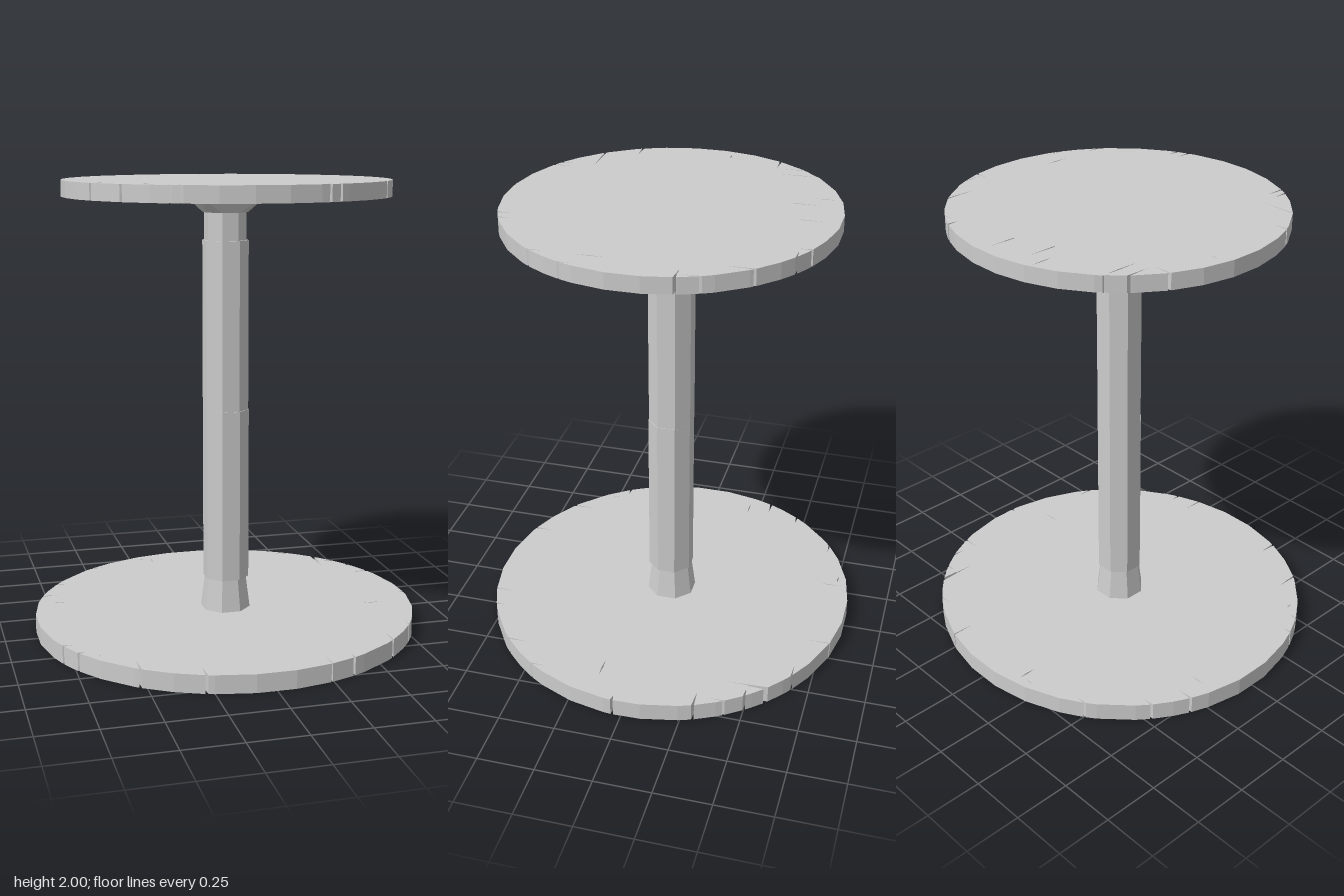
import * as THREE from 'three';

const material = new THREE.MeshStandardMaterial({ color: 0xcccccc, flatShading: true, side: THREE.DoubleSide });

function part(name, geometry) {
  const mesh = new THREE.Mesh(geometry, material);
  mesh.name = name;
  return mesh;
}

// Worn wooden disc: polygon rim with V-shaped splits [x, z, grain axis, length]
// and inner cracks [x, z, grain axis, length]
function woodDisc(name, { rx, rz, cx, cz, y, height, splits, cracks }) {
  const rim = a => new THREE.Vector2(cx + rx * Math.cos(a), cz + rz * Math.sin(a));
  const notches = splits.map(([x, z, axis, length, width = 0.012]) => {
    const a = Math.atan2((z - cz) / rz, (x - cx) / rx);
    return { a, axis, length, w: width / 2 / rx };
  });
  const outline = [];
  const sides = 32;
  for (let i = 0; i < sides; i++) {
    const a = -Math.PI + ((i + 0.5) / sides) * Math.PI * 2;
    if (notches.every(n => Math.abs(n.a - a) > n.w + 0.008)) outline.push([a, rim(a)]);
  }
  for (const { a, axis, length, w } of notches) {
    const tip = rim(a);
    tip[axis] -= Math.sign(tip[axis]) * length;
    outline.push([a - w, rim(a - w)], [a, tip], [a + w, rim(a + w)]);
  }
  outline.sort((p, q) => p[0] - q[0]);
  const shape = new THREE.Shape(outline.map(p => p[1]));

  for (const [x, z, axis, length] of cracks) {
    const dx = axis === 'x' ? length / 2 : 0.003;
    const dz = axis === 'x' ? 0.003 : length / 2;
    shape.holes.push(new THREE.Path([
      new THREE.Vector2(x - dx, z), new THREE.Vector2(x, z + dz),
      new THREE.Vector2(x + dx, z), new THREE.Vector2(x, z - dz),
    ]));
  }
  // Shape y becomes world z, with the extrusion going down from the top face
  const geometry = new THREE.ExtrudeGeometry(shape, { depth: height, bevelEnabled: false });
  geometry.rotateX(Math.PI / 2).translate(0, y + height, 0);
  return part(name, geometry);
}

// Eight-sided post section with flats facing the axes
function octagon(name, bottomHalf, topHalf, y0, y1, x = 0, z = 0) {
  const k = 1 / Math.cos(Math.PI / 8);
  const geometry = new THREE.CylinderGeometry(topHalf * k, bottomHalf * k, y1 - y0, 8);
  geometry.rotateY(Math.PI / 8).translate(x, (y0 + y1) / 2, z);
  return part(name, geometry);
}

// Bracket blending from the octagonal neck to a rectangle under the top
function bracket(y0, y1) {
  const geometry = new THREE.CylinderGeometry(1, 1, 1, 8, 1).rotateY(Math.PI / 8);
  const p = geometry.attributes.position;
  for (let i = 0; i < p.count; i++) {
    const x = p.getX(i), z = p.getZ(i);
    const centre = Math.hypot(x, z) < 0.01;
    if (p.getY(i) < 0) p.setXYZ(i, x * 0.1, y0, z * 0.1);
    else if (centre) p.setXYZ(i, 0, y1, 0);
    else p.setXYZ(i, Math.sign(x) * 0.145, y1, z > 0 ? 0.135 : -0.19);
  }
  geometry.computeVertexNormals();
  return part('topBracket', geometry);
}

export function createModel() {
  const table = new THREE.Group();
  table.name = 'pedestalTable';

  table.add(woodDisc('baseDisc', {
    rx: 0.856, rz: 0.831, cx: -0.002, cz: -0.002, y: 0, height: 0.08,
    splits: [
      [-0.5, -0.67, 'x', 0.06], [-0.7, -0.47, 'x', 0.05], [-0.78, -0.32, 'x', 0.07],
      [0.24, -0.79, 'y', 0.1, 0.006], [0.5, -0.67, 'x', 0.07], [0.61, -0.58, 'y', 0.17, 0.024],
      [0.68, -0.5, 'x', 0.07], [0.73, -0.42, 'y', 0.06], [0.79, -0.3, 'x', 0.08],
      [0.85, 0.04, 'x', 0.03], [0.71, 0.45, 'y', 0.07], [0.58, 0.61, 'y', 0.09],
      [0.24, 0.79, 'y', 0.1, 0.006], [0.35, 0.75, 'y', 0.04], [-0.28, 0.78, 'y', 0.08],
      [-0.52, 0.65, 'y', 0.1], [-0.74, 0.42, 'x', 0.04], [-0.78, 0.32, 'x', 0.04],
    ],
    cracks: [
      [-0.19, -0.73, 'y', 0.09], [-0.24, -0.76, 'x', 0.05], [-0.73, -0.22, 'x', 0.07],
      [-0.66, 0.47, 'y', 0.03], [0.66, 0.14, 'x', 0.1],
    ],
  }));

  table.add(woodDisc('topDisc', {
    rx: 0.71, rz: 0.703, cx: 0.006, cz: 0, y: 1.93, height: 0.07,
    splits: [
      [-0.54, -0.46, 'y', 0.1], [-0.62, -0.33, 'x', 0.08], [0.31, -0.63, 'y', 0.05],
      [0.39, -0.58, 'x', 0.06], [0.54, -0.46, 'y', 0.13], [0.65, -0.28, 'y', 0.09],
      [0.68, -0.19, 'x', 0.07], [0.66, 0.26, 'y', 0.07], [0.58, 0.41, 'y', 0.06],
      [0.25, 0.65, 'y', 0.06], [0.3, 0.63, 'y', 0.05], [-0.33, 0.61, 'y', 0.08],
      [-0.37, 0.59, 'y', 0.06], [-0.54, 0.45, 'x', 0.17], [-0.63, 0.3, 'x', 0.07],
    ],
    cracks: [
      [-0.47, -0.44, 'y', 0.17], [-0.145, -0.49, 'y', 0.24], [0.025, -0.55, 'y', 0.18],
      [-0.22, -0.6, 'y', 0.09], [0.58, 0.165, 'y', 0.12], [-0.63, -0.105, 'x', 0.04],
    ],
  }));

  // Post, from the flared foot up to the neck
  table.add(
    octagon('flaredFoot', 0.104, 0.085, 0.075, 0.235),
    octagon('lowerPost', 0.095, 0.095, 0.225, 0.995, 0.002, 0.002),
    octagon('upperPost', 0.094, 0.094, 0.995, 1.74, 0.001, 0),
    octagon('neck', 0.086, 0.086, 1.73, 1.87),
    bracket(1.86, 1.932),
  );
  return table;
}
